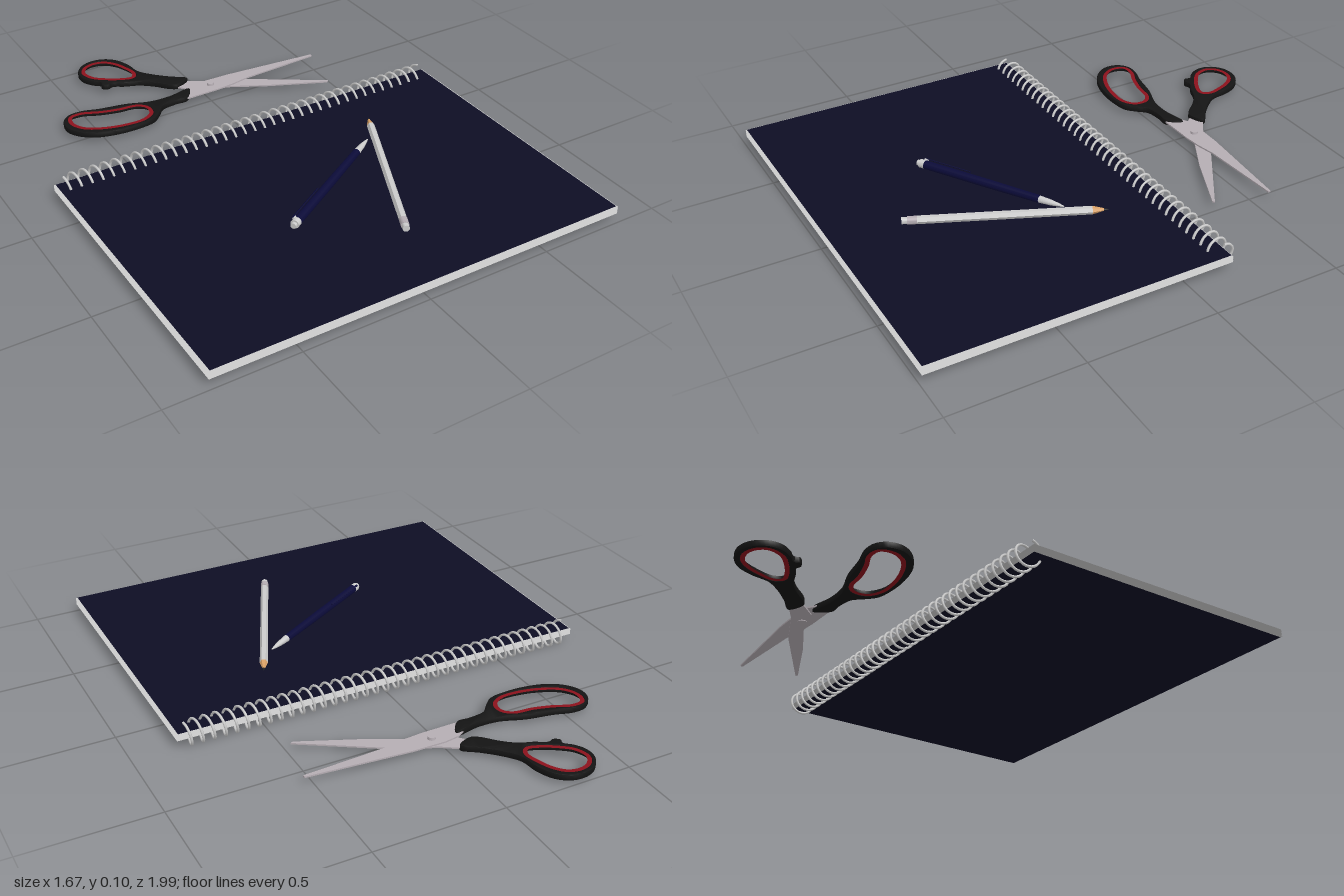
import * as THREE from 'three';
import { toCreasedNormals } from 'three/addons/utils/BufferGeometryUtils.js';

const mat = (color, side = THREE.FrontSide) => new THREE.MeshStandardMaterial({ color, side });
const GREY = mat(0xcccccc);
const PAPER = mat(0xcccccc, THREE.DoubleSide);
const COVER = mat(0x0d0d24, THREE.DoubleSide);
const NAVY = mat(0x0b0b38);
const BLACK = mat(0x141414);
const RED = mat(0x8c121c);
const STEEL = mat(0xb5adb3);
const WOOD = mat(0xd9a066);
const LEAD = mat(0x222222);

function add(parent, name, geometry, material) {
  const mesh = new THREE.Mesh(geometry, material);
  mesh.name = name;
  parent.add(mesh);
  return mesh;
}

// Outlines are given as flat [x, z] pairs in plan; shape y is -z.
const plan = (pairs) => pairs.map(([x, z]) => new THREE.Vector2(x, -z));

function smoothLoop(pairs, n = 60) {
  const pts = plan(pairs).map((p) => new THREE.Vector3(p.x, p.y, 0));
  return new THREE.CatmullRomCurve3(pts, true).getPoints(n).slice(0, n)
    .map((p) => new THREE.Vector2(p.x, p.y));
}

// Moves each point of a closed loop outward by d.
function grow(loop, d) {
  const s = THREE.ShapeUtils.isClockWise(loop) ? -1 : 1;
  return loop.map((p, i) => {
    const a = loop[(i + loop.length - 1) % loop.length], b = loop[(i + 1) % loop.length];
    const t = b.clone().sub(a).normalize();
    return new THREE.Vector2(p.x + s * t.y * d, p.y - s * t.x * d);
  });
}

// Flat plate lying between y0 and y1.
function plate(loop, hole, y0, y1, bevel = 0) {
  const shape = new THREE.Shape(loop);
  if (hole) shape.holes.push(new THREE.Path(hole));
  const geo = new THREE.ExtrudeGeometry(shape, {
    depth: y1 - y0 - 2 * bevel, bevelEnabled: bevel > 0, bevelSize: bevel,
    bevelOffset: -bevel, bevelThickness: bevel, bevelSegments: 2,
  });
  geo.rotateX(-Math.PI / 2).translate(0, y0 + bevel, 0);
  return toCreasedNormals(geo, 0.6);
}

// Turned part along +x from [x, radius] pairs.
function turned(profile, sides) {
  const geo = new THREE.LatheGeometry(profile.map(([x, r]) => new THREE.Vector2(r, x)), sides);
  return toCreasedNormals(geo.rotateZ(-Math.PI / 2), 0.5);
}

// Lays a group built along +x from plan point a towards b.
function lay(group, a, b, y) {
  group.position.set(a[0], y, a[1]);
  group.rotation.y = Math.atan2(a[1] - b[1], b[0] - a[0]);
  return group;
}

function notebook() {
  const g = new THREE.Group();
  g.name = 'notebook';
  // Loose sheets, fanning very slightly towards the front
  const count = 12;
  for (let i = 0; i < count; i++) {
    const k = i / (count - 1);
    const isCover = i === 0 || i === count - 1;
    const geo = new THREE.PlaneGeometry(isCover ? 1.654 : 1.666, isCover ? 1.164 : 1.172);
    const sheet = add(g, isCover ? 'cover' : 'page', geo, isCover ? COVER : PAPER);
    sheet.rotation.x = -Math.PI / 2 + (0.5 - k) * 0.005;
    sheet.position.set(0, 0.033 + k * 0.031, 0.405);
  }
  // Wire spiral binding
  const turns = 37, per = 20, pts = [];
  for (let i = 0; i <= turns * per; i++) {
    const t = (i / per) * Math.PI * 2;
    pts.push(new THREE.Vector3(-0.8 + (1.6 * i) / (turns * per),
      0.05 + 0.045 * Math.cos(t), -0.163 + 0.045 * Math.sin(t)));
  }
  const path = new THREE.CatmullRomCurve3(pts);
  add(g, 'spiralBinding', new THREE.TubeGeometry(path, turns * 24, 0.005, 6), GREY);
  return g;
}

function pencil() {
  const g = new THREE.Group();
  g.name = 'pencil';
  const r = 0.0155;
  add(g, 'eraser', turned([[0, 0], [0, 0.013], [0.03, 0.013]], 16), GREY);
  add(g, 'ferrule', turned([[0.02, 0], [0.02, r], [0.055, r], [0.055, 0]], 16), STEEL);
  add(g, 'pencilBody', turned([[0.055, r], [0.68, r]], 6), GREY);
  add(g, 'sharpenedWood', turned([[0.68, r], [0.722, 0.005]], 6), WOOD);
  add(g, 'lead', turned([[0.722, 0.005], [0.741, 0]], 6), LEAD);
  return lay(g, [0.093, 0.727], [0.4, 0.048], 0.082);
}

function pen() {
  const g = new THREE.Group();
  g.name = 'pen';
  add(g, 'clickButton', turned([[0, 0], [0, 0.011], [0.02, 0.011]], 16), GREY);
  add(g, 'endCap', turned([[0.012, 0], [0.012, 0.0165], [0.034, 0.0165]], 20), GREY);
  add(g, 'penBody', turned([[0.034, 0.0165], [0.3, 0.0165], [0.53, 0.0145], [0.53, 0]], 20), NAVY);
  add(g, 'penTip', turned([[0.53, 0.0135], [0.58, 0.0105], [0.612, 0.006], [0.631, 0.002], [0.631, 0]], 20), GREY);
  // Clip leaning to one side of the barrel
  const clip = new THREE.Group();
  clip.name = 'clip';
  add(clip, 'clipArm', new THREE.BoxGeometry(0.2, 0.003, 0.009).translate(0.125, 0.0225, 0), NAVY);
  add(clip, 'clipBase', new THREE.BoxGeometry(0.014, 0.012, 0.009).translate(0.032, 0.018, 0), GREY);
  clip.rotation.x = -0.75;
  g.add(clip);
  return lay(g, [-0.235, 0.513], [0.304, 0.185], 0.0835);
}

function scissorHalf(name, blade, outline, hole, bladeY) {
  const g = new THREE.Group();
  g.name = name;
  const inner = smoothLoop(hole);
  const rim = grow(inner, 0.016);
  add(g, 'blade', plate(plan(blade), null, bladeY, bladeY + 0.006), STEEL);
  add(g, 'handle', plate(smoothLoop(outline, 90), rim, 0.015, 0.039, 0.004), BLACK);
  add(g, 'handleLining', plate(rim, inner, 0.017, 0.037), RED);
  return g;
}

function scissors() {
  const g = new THREE.Group();
  g.name = 'scissors';
  // Long-looped half with the upper blade
  g.add(scissorHalf('upperHalf',
    [[-0.13, -0.53], [-0.1, -0.575], [-0.06, -0.6], [0, -0.61], [0.13, -0.608], [0.53, -0.574],
      [0.53, -0.564], [0.2, -0.545], [0.12, -0.53], [0.05, -0.524], [-0.09, -0.522]],
    [[-0.06, -0.582], [-0.16, -0.566], [-0.245, -0.57], [-0.34, -0.603], [-0.447, -0.624],
      [-0.52, -0.645], [-0.575, -0.64], [-0.61, -0.608], [-0.617, -0.555], [-0.59, -0.503],
      [-0.532, -0.46], [-0.447, -0.437], [-0.362, -0.433], [-0.288, -0.445], [-0.245, -0.482],
      [-0.215, -0.513], [-0.15, -0.524], [-0.098, -0.524]],
    [[-0.569, -0.614], [-0.526, -0.619], [-0.463, -0.593], [-0.384, -0.571], [-0.31, -0.561],
      [-0.283, -0.534], [-0.288, -0.492], [-0.33, -0.466], [-0.405, -0.466], [-0.489, -0.487],
      [-0.553, -0.524], [-0.579, -0.571]], 0.026));
  // Round-looped half with the lower blade
  g.add(scissorHalf('lowerHalf',
    [[-0.1, -0.65], [-0.06, -0.68], [0.03, -0.62], [0.19, -0.545], [0.48, -0.357],
      [0.47, -0.352], [0.24, -0.455], [0.1, -0.53], [-0.03, -0.57]],
    [[-0.026, -0.661], [-0.082, -0.709], [-0.14, -0.767], [-0.177, -0.82], [-0.188, -0.889],
      [-0.214, -0.952], [-0.257, -0.989], [-0.31, -1], [-0.362, -0.984], [-0.4, -0.937],
      [-0.402, -0.884], [-0.378, -0.841], [-0.352, -0.815], [-0.357, -0.794], [-0.336, -0.778],
      [-0.31, -0.785], [-0.267, -0.762], [-0.214, -0.741], [-0.161, -0.698], [-0.119, -0.651],
      [-0.087, -0.632]],
    [[-0.315, -0.966], [-0.273, -0.956], [-0.241, -0.921], [-0.219, -0.868], [-0.208, -0.815],
      [-0.222, -0.792], [-0.262, -0.802], [-0.32, -0.836], [-0.36, -0.873], [-0.373, -0.921],
      [-0.352, -0.953]], 0.019));
  // Pivot screw
  const screw = add(g, 'pivotScrew', new THREE.CylinderGeometry(0.014, 0.017, 0.026, 20), STEEL);
  screw.position.set(0.035, 0.029, -0.571);
  return g;
}

export function createModel() {
  const model = new THREE.Group();
  model.name = 'stationerySet';
  model.add(notebook(), pencil(), pen(), scissors());
  return model;
}
